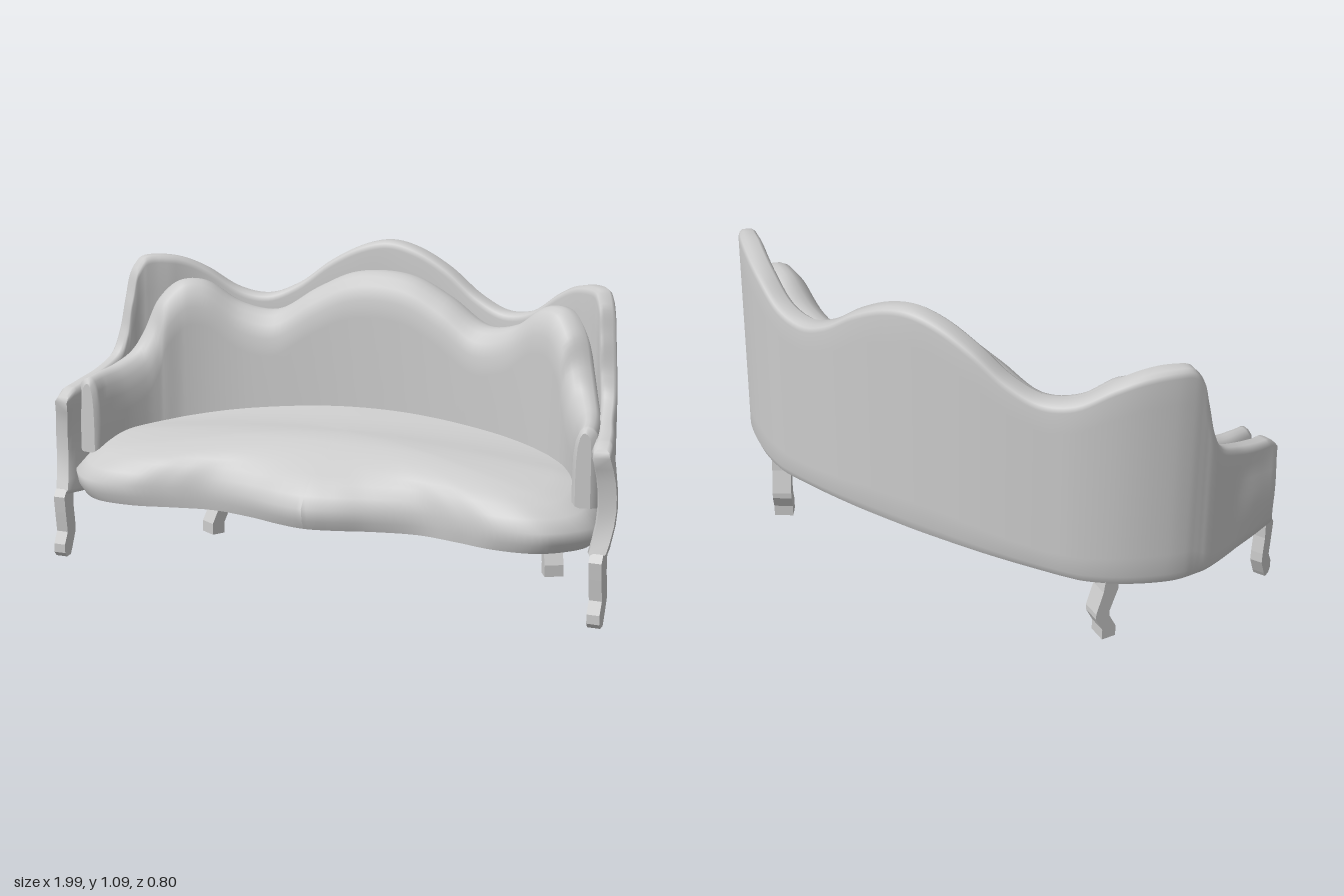
import * as THREE from 'three';

const material = new THREE.MeshStandardMaterial({ color: 0xcccccc, side: THREE.DoubleSide });
const { lerp, clamp, smoothstep } = THREE.MathUtils;

// Smooth curve mirrored about x = 0 from the points of its +x half
function mirroredCurve(half, closed = false) {
  const pts = half.map(p => new THREE.Vector3(...p));
  const inner = closed ? pts.slice(1, -1) : pts.slice(1);
  const mirrored = inner.map(p => new THREE.Vector3(-p.x, p.y, p.z)).reverse();
  return new THREE.CatmullRomCurve3(closed ? [...pts, ...mirrored] : [...mirrored, ...pts], closed);
}

// Skin rows of equal length; optionally close both ends with flat caps
function loft(rows, caps = false) {
  const n = rows[0].length, pos = rows.flat(2), index = [];
  for (let i = 0; i < rows.length - 1; i++) {
    for (let j = 0; j < n - 1; j++) {
      const a = i * n + j;
      index.push(a, a + 1, a + n, a + 1, a + n + 1, a + n);
    }
  }
  if (caps) {
    [rows[0], rows[rows.length - 1]].forEach((row, end) => {
      const b = pos.length / 3;
      pos.push(...row.flat());
      for (let j = 0; j < n / 2 - 1; j++) {
        const quad = [j, j + 1, n - 1 - j, j + 1, n - 2 - j, n - 1 - j].map(k => k + b);
        index.push(...(end ? quad : quad.reverse()));
      }
    });
  }
  const g = new THREE.BufferGeometry();
  g.setAttribute('position', new THREE.Float32BufferAttribute(pos, 3));
  g.setIndex(index);
  g.computeVertexNormals();
  return g;
}

// Upright wall swept along a curve whose y is the height of its top edge.
// section(top, bottom, thickness) returns [inward offset, y] pairs;
// endScale narrows the last section to round off the ends.
function sweptWall(half, section, bottomAt, thickAt, endScale, bend = p => p) {
  const curve = mirroredCurve(half);
  const steps = (half.length - 1) * 2 * 6;
  const rows = [];
  for (let i = 0; i <= steps; i++) {
    const p = curve.getPoint(i / steps), t = curve.getTangent(i / steps);
    const len = Math.hypot(t.x, t.z), nx = -t.z / len, nz = t.x / len;
    const last = i === 0 || i === steps;
    const thick = thickAt(p), bottom = bottomAt(p);
    rows.push(section(p.y - (last ? 0.015 : 0), bottom, thick).map(([o, y]) => {
      const off = last ? thick / 2 + (o - thick / 2) * endScale : o;
      return bend([p.x + nx * off, y, p.z + nz * off], p);
    }));
  }
  return loft(rows, true);
}

// Piecewise linear lookup in [key, value] pairs
function lookup(table, k) {
  for (let i = 1; i < table.length; i++) {
    const [a, va] = table[i - 1], [b, vb] = table[i];
    if (k <= b) return lerp(va, vb, clamp((k - a) / (b - a), 0, 1));
  }
  return table[table.length - 1][1];
}

// Curved outer back with wings and arms
function makeShell() {
  const half = [
    [0, 1.085, -0.4], [0.1, 1.065, -0.397], [0.22, 1.005, -0.39], [0.34, 0.92, -0.375],
    [0.45, 0.877, -0.355], [0.56, 0.895, -0.33], [0.67, 0.965, -0.285], [0.75, 1.003, -0.235],
    [0.825, 1.016, -0.17], [0.86, 1.008, -0.128], [0.878, 0.965, -0.098], [0.889, 0.88, -0.078],
    [0.902, 0.765, -0.053], [0.915, 0.69, -0.015], [0.935, 0.645, 0.07], [0.96, 0.62, 0.15], [0.98, 0.6, 0.235]];
  const section = (top, bot, t) => {
    const at = f => lerp(bot, top - 0.025, f);
    const levels = [0.05, 0.15, 0.3, 0.45, 0.6, 0.75, 0.88, 1];
    // the wall thins to its lower edge, except at the arm fronts
    const foot = lookup([[0.6, 0.05], [0.66, 0.02]], top);
    return [[0.015, bot], ...levels.map(f => [0, at(f)]), [t * 0.08, top - 0.009], [t * 0.25, top],
      [t * 0.75, top], [t * 0.92, top - 0.009], ...levels.reverse().map(f => [t, at(f)]), [foot, bot]];
  };
  const wave = [[0.25, 0.045], [0.3, 0.02], [0.36, 0], [0.46, 0], [0.52, 0.012], [0.56, 0.027], [0.6, 0]];
  const bend = ([x, y, z], p) => {
    const f = clamp((p.z - 0.05) / 0.185, 0, 1);
    const out = y < 0.58 ? 0.02 * Math.sin(Math.PI * (y - 0.25) / 0.33) : 0;
    return [x + Math.sign(p.x) * f * out, y, z + f * lookup(wave, y)];
  };
  const bottomAt = p => lookup([[-0.4, 0.253], [-0.32, 0.226], [-0.15, 0.22], [0.05, 0.222], [0.235, 0.245]], p.z);
  const thickAt = p => lookup([[-0.2, 0.075], [-0.1, 0.055], [0.05, 0.052], [0.235, 0.064]], p.z);
  return sweptWall(half, section, bottomAt, thickAt, 0.85, bend);
}

// Padded inner back that runs on into the arm pads; its rear sinks into the shell
function makePad() {
  const half = [
    [0, 0.99, -0.33], [0.12, 0.975, -0.327], [0.25, 0.915, -0.315], [0.39, 0.835, -0.292],
    [0.52, 0.855, -0.26], [0.64, 0.932, -0.212], [0.72, 0.932, -0.163], [0.775, 0.87, -0.11],
    [0.807, 0.77, -0.07], [0.835, 0.7, -0.02], [0.868, 0.662, 0.06], [0.89, 0.648, 0.14], [0.902, 0.635, 0.21]];
  const section = (top, bot, t) => [
    [-0.02, bot], [-0.02, top - 0.13], [-0.02, top - 0.06], [-0.015, top - 0.02],
    [0, top - 0.005], [t * 0.25, top], [t * 0.45, top - 0.003], [t * 0.65, top - 0.015],
    [t * 0.85, top - 0.045], [t * 0.96, top - 0.09], [t, top - 0.15], [t, bot]];
  const thickAt = p => lerp(0.125, 0.06, clamp((p.z + 0.3) / 0.45, 0, 1));
  return sweptWall(half, section, () => 0.38, thickAt, 0.6);
}

// Domed seat cushion with a serpentine front, open underneath
function makeSeat() {
  const outline = mirroredCurve([
    [0, 0, 0.397], [0.1, 0, 0.377], [0.22, 0, 0.335], [0.38, 0, 0.305], [0.52, 0, 0.333], [0.66, 0, 0.368],
    [0.8, 0, 0.355], [0.89, 0, 0.28], [0.93, 0, 0.2], [0.908, 0, 0.06], [0.85, 0, -0.09], [0.73, 0, -0.215],
    [0.55, 0, -0.305], [0.3, 0, -0.355], [0, 0, -0.375]], true);
  const rings = [[0.965, 0.255], [0.99, 0.285], [1, 0.325], [0.95, 0.362], [0.88, 0.395], [0.8, 0.417],
    [0.7, 0.433], [0.58, 0.445], [0.4, 0.464], [0.2, 0.485], [0, 0.5]];
  const rows = outline.getPoints(160).map(p => rings.map(([f, h], k) => {
    // the waves of the front edge fade towards the middle
    const front = smoothstep(p.z, 0.12, 0.3);
    const edge = lerp(p.z, 0.335, front * (1 - f ** 3));
    const x = p.x * f, z = 0.02 + (edge - 0.02) * f;
    const back = smoothstep(0.3 - z, 0, 0.25);
    const crown = 0.5 + Math.min(0.03, 0.6 * Math.min(0, z) ** 2)
      - 0.09 * x * x - 0.035 * smoothstep(Math.abs(x), 0.8, 0.93);
    return [x, k < 3 ? h : lerp(h, crown, back), z];
  }));
  return loft(rows);
}

// Leg cut from a side profile of [z, y] points and given a width along x
function makeLeg(profile, width) {
  const g = new THREE.ExtrudeGeometry(new THREE.Shape(profile.map(p => new THREE.Vector2(...p))),
    { depth: width, bevelEnabled: false });
  return g.translate(0, 0, -width / 2).rotateY(-Math.PI / 2);
}

export function createModel() {
  const model = new THREE.Group();
  const add = (name, geometry) => {
    const mesh = new THREE.Mesh(geometry, material);
    mesh.name = name;
    model.add(mesh);
    return mesh;
  };
  add('outerBack', makeShell());
  add('backPad', makePad());
  add('seatCushion', makeSeat());

  const front = makeLeg([[0.243, 0.26], [0.245, 0.2], [0.237, 0.14], [0.235, 0.105], [0.262, 0.045], [0.272, 0.027],
    [0.298, 0.025], [0.309, 0.04], [0.309, 0.07], [0.288, 0.11], [0.297, 0.18], [0.303, 0.235], [0.285, 0.26]], 0.042);
  const back = makeLeg([[-0.025, 0.29], [-0.025, 0.225], [-0.03, 0.19], [-0.055, 0.11], [-0.055, 0.09], [-0.03, 0.04],
    [-0.03, 0], [0.02, 0], [0.02, 0.04], [-0.005, 0.09], [-0.005, 0.11], [0.025, 0.19], [0.025, 0.225], [0.025, 0.29]], 0.065);
  for (const [side, s] of [['left', 1], ['right', -1]]) {
    add(side + 'FrontLeg', front).position.x = s * 0.951;
    const leg = add(side + 'BackLeg', back);
    leg.position.set(s * 0.643, 0, -0.24);
    leg.rotation.y = s * Math.PI / 6;
  }
  return model;
}
